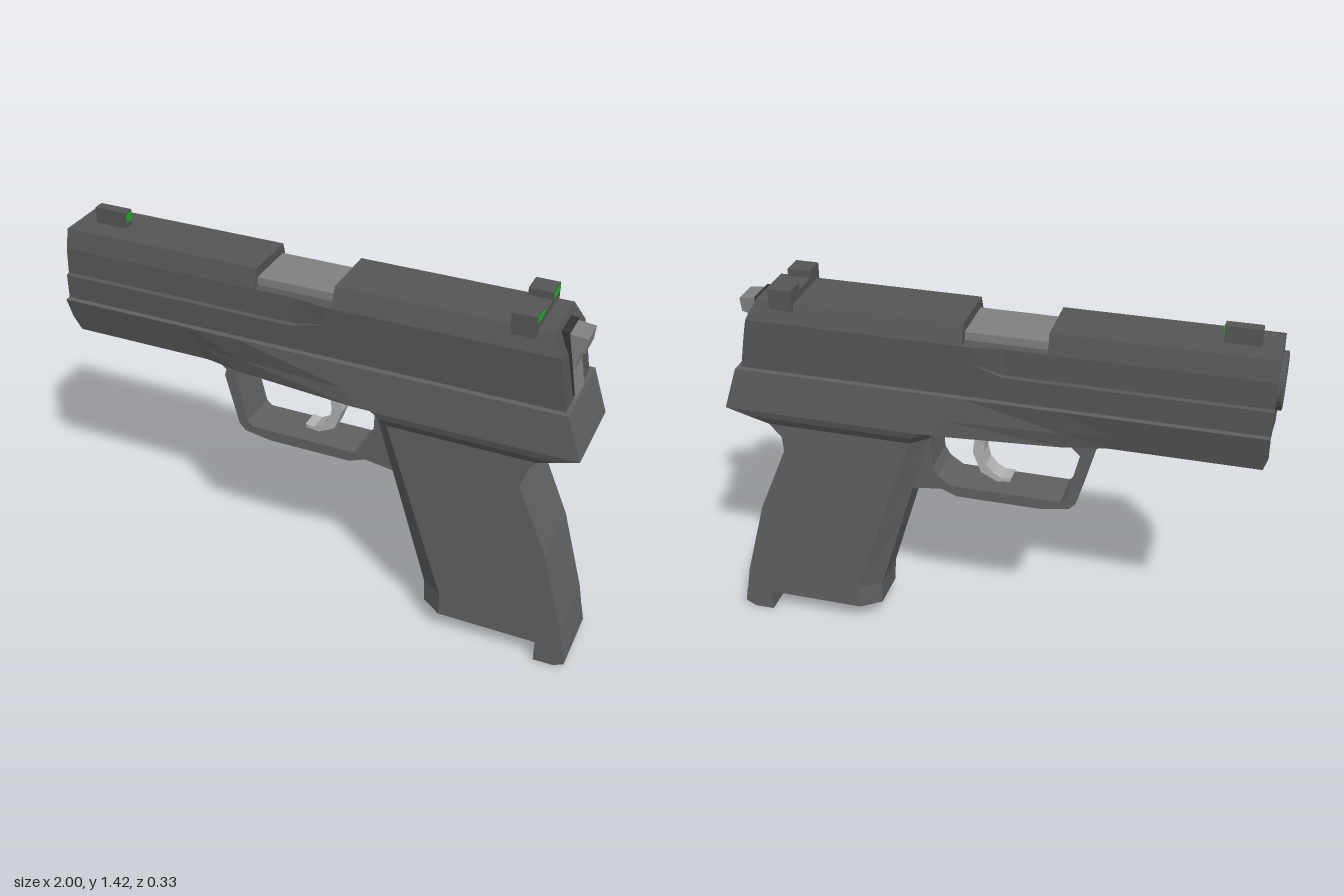
import * as THREE from 'three';

const mat = (color) => new THREE.MeshStandardMaterial({ color, flatShading: true });

export function createModel() {
  const model = new THREE.Group();
  const slideMat = mat(0x555555), frameMat = mat(0x606060), boreMat = mat(0x333333);
  const steel = mat(0x808080), triggerMat = mat(0xb0b0b0), green = mat(0x18b020);

  function add(name, geometry, material) {
    const mesh = new THREE.Mesh(geometry, material);
    mesh.name = name;
    model.add(mesh);
    return mesh;
  }

  // Box given by its limits on each axis
  function box(name, material, [x0, x1], [y0, y1], [z0, z1]) {
    const g = new THREE.BoxGeometry(x1 - x0, y1 - y0, z1 - z0);
    g.translate((x0 + x1) / 2, (y0 + y1) / 2, (z0 + z1) / 2);
    return add(name, g, material);
  }

  // Side profile extruded to a given half width
  function plate(name, material, outline, half, hole) {
    const toPts = (list) => list.map(([x, y]) => new THREE.Vector2(x, y));
    const shape = new THREE.Shape(toPts(outline));
    if (hole) shape.holes.push(new THREE.Path(toPts(hole)));
    const g = new THREE.ExtrudeGeometry(shape, { depth: 2 * half, bevelEnabled: false });
    g.translate(0, 0, -half);
    return add(name, g, material);
  }

  // Capped loft; each section lists the [x, y, z] points of its +z half, then is mirrored
  function loft(name, material, halves) {
    const rings = halves.map((h) => [...h, ...h.map(([x, y, z]) => [x, y, -z]).reverse()]);
    const n = rings[0].length, pos = [];
    const tri = (...pts) => pts.forEach((p) => pos.push(...p));
    const centre = (r) => [0, 1, 2].map((k) => r.reduce((s, p) => s + p[k], 0) / n);
    const first = rings[0], last = rings[rings.length - 1];
    const c0 = centre(first), c1 = centre(last);
    for (let i = 0; i < n; i++) {
      const j = (i + 1) % n;
      for (let s = 0; s + 1 < rings.length; s++) {
        const a = rings[s], b = rings[s + 1];
        tri(a[i], a[j], b[j]);
        tri(a[i], b[j], b[i]);
      }
      tri(c0, first[j], first[i]);
      tri(c1, last[i], last[j]);
    }
    const g = new THREE.BufferGeometry();
    g.setAttribute('position', new THREE.Float32BufferAttribute(pos, 3));
    g.computeVertexNormals();
    return add(name, g, material);
  }

  // Slide: slim front with a side ledge, ejection notch, full-width rear
  const slim = [[0.105, 1.36], [0.125, 1.29], [0.13, 1.195], [0.143, 1.19], [0.143, 1.1]];
  const full = [[0.113, 1.36], [0.143, 1.29], [0.143, 1.23], [0.143, 1.225], [0.143, 1.1]];
  const notched = (s) => [[0.1, 1.295], ...s.slice(1)];
  const at = (x, s) => s.map(([z, y], i) => [Array.isArray(x) ? x[i] : x, y, z]);
  loft('slide', slideMat, [
    at(-0.98, slim), at(-0.22, slim), at(-0.22, notched(slim)), at(-0.07, notched(slim)),
    at(0.05, notched(full)), at(0.075, notched(full)), at(0.075, full),
    at([0.83, 0.865, 0.877, 0.878, 0.9], full),
  ]);
  box('chamber', steel, [-0.22, 0.075], [1.27, 1.325], [-0.1, 0.1]);

  // Muzzle ring around a dark bore
  const ringProfile = [[0.08, 0], [0.1, 0], [0.1, 0.018], [0.095, 0.022], [0.085, 0.022], [0.08, 0.018], [0.08, 0]];
  const ring = new THREE.LatheGeometry(ringProfile.map(([r, h]) => new THREE.Vector2(r, h)), 24);
  ring.rotateZ(Math.PI / 2).translate(-0.978, 1.237, 0);
  add('muzzleRing', ring, slideMat);
  const bore = new THREE.CylinderGeometry(0.081, 0.081, 0.01, 24);
  bore.rotateZ(Math.PI / 2).translate(-0.98, 1.237, 0);
  add('bore', bore, boreMat);

  // Sights with green marks on their rear faces
  box('frontSight', slideMat, [-0.91, -0.785], [1.35, 1.42], [-0.02, 0.02]);
  box('frontSightMark', green, [-0.79, -0.782], [1.383, 1.412], [-0.015, 0.015]);
  box('rearSightBase', slideMat, [0.69, 0.775], [1.335, 1.385], [-0.13, 0.13]);
  for (const s of [-1, 1]) {
    const span = (a, b) => (s > 0 ? [a, b] : [-b, -a]);
    box('rearSightBlade', slideMat, [0.69, 0.775], [1.38, 1.412], span(0.05, 0.13));
    box('rearSightMark', green, [0.77, 0.778], [1.387, 1.406], span(0.055, 0.12));
  }

  // Hammer at the back of the slide
  plate('hammerSlot', boreMat, [[0.8, 1.34], [0.862, 1.34], [0.882, 1.23], [0.902, 1.11], [0.8, 1.11]], 0.056);
  plate('hammer', steel, [[0.84, 1.335], [0.925, 1.325], [0.92, 1.275], [0.9, 1.27],
    [0.89, 1.2], [0.908, 1.1], [0.84, 1.1]], 0.05);

  // Frame: tapered dust cover in front, straight sides and a slanted tang behind
  const frameSection = (xt, xb, yb, zb) => [[xt, 1.1, 0.165], [xb, yb, zb]];
  loft('frame', frameMat, [
    [[-0.98, 1.1, 0.165], [-0.98, 1.01, 0.132], [-0.965, 0.95, 0.11]],
    ...[[-0.47, -0.43, 0.95, 0.11], [-0.28, -0.28, 0.935, 0.12],
      [0.07, 0.17, 0.935, 0.163], [0.915, 0.97, 0.935, 0.165]].map((p) => {
      const [t, b] = frameSection(...p);
      const mid = t.map((v, k) => v + (b[k] - v) * 0.6);
      return [t, mid, b];
    }),
  ]);

  // Grip: chamfered front, tapered collar on top, open well at the bottom
  const gripSection = ([y, xf, zf, xc, z, xb]) => [[xb, y, z], [xc, y, z], [xf, y, zf]];
  loft('grip', frameMat, [
    [0.935, 0.17, 0.13, 0.24, 0.165, 0.97],
    [0.905, 0.2, 0.11, 0.26, 0.155, 0.89],
    [0.87, 0.22, 0.08, 0.28, 0.133, 0.82],
    [0.82, 0.237, 0.08, 0.297, 0.133, 0.775],
    [0.76, 0.255, 0.08, 0.317, 0.133, 0.77],
    [0.49, 0.337, 0.08, 0.407, 0.133, 0.885],
    [0.18, 0.43, 0.08, 0.51, 0.133, 0.97],
    [0.085, 0.435, 0.08, 0.51, 0.133, 0.987],
    [0.085, 0.465, 0.06, 0.525, 0.108, 0.885],
    [0.25, 0.44, 0.06, 0.5, 0.108, 0.84],
  ].map(gripSection));
  plate('gripHeel', frameMat, [[0.885, 0.09], [0.885, 0], [0.96, 0], [1, 0.02], [0.987, 0.09]], 0.133);

  // Trigger guard
  plate('triggerGuard', frameMat, [
    [-0.43, 0.95], [-0.37, 0.905], [-0.378, 0.88], [-0.325, 0.68], [-0.3, 0.655], [-0.2, 0.638],
    [0.12, 0.638], [0.18, 0.662], [0.3, 0.645], [0.3, 0.95],
  ], 0.08, [
    [-0.335, 0.885], [-0.28, 0.936], [0.17, 0.936], [0.205, 0.9], [0.215, 0.86], [0.21, 0.75],
    [0.19, 0.715], [0.14, 0.68], [-0.27, 0.68], [-0.29, 0.7],
  ]);

  // Curved trigger
  plate('trigger', triggerMat, [
    [0, 0.95], [0.022, 0.88], [0.03, 0.81], [0.02, 0.765], [-0.005, 0.735], [-0.04, 0.715], [-0.075, 0.72],
    [-0.07, 0.705], [-0.02, 0.7], [0.04, 0.73], [0.07, 0.81], [0.062, 0.87], [0.035, 0.95],
  ], 0.035);

  return model;
}
